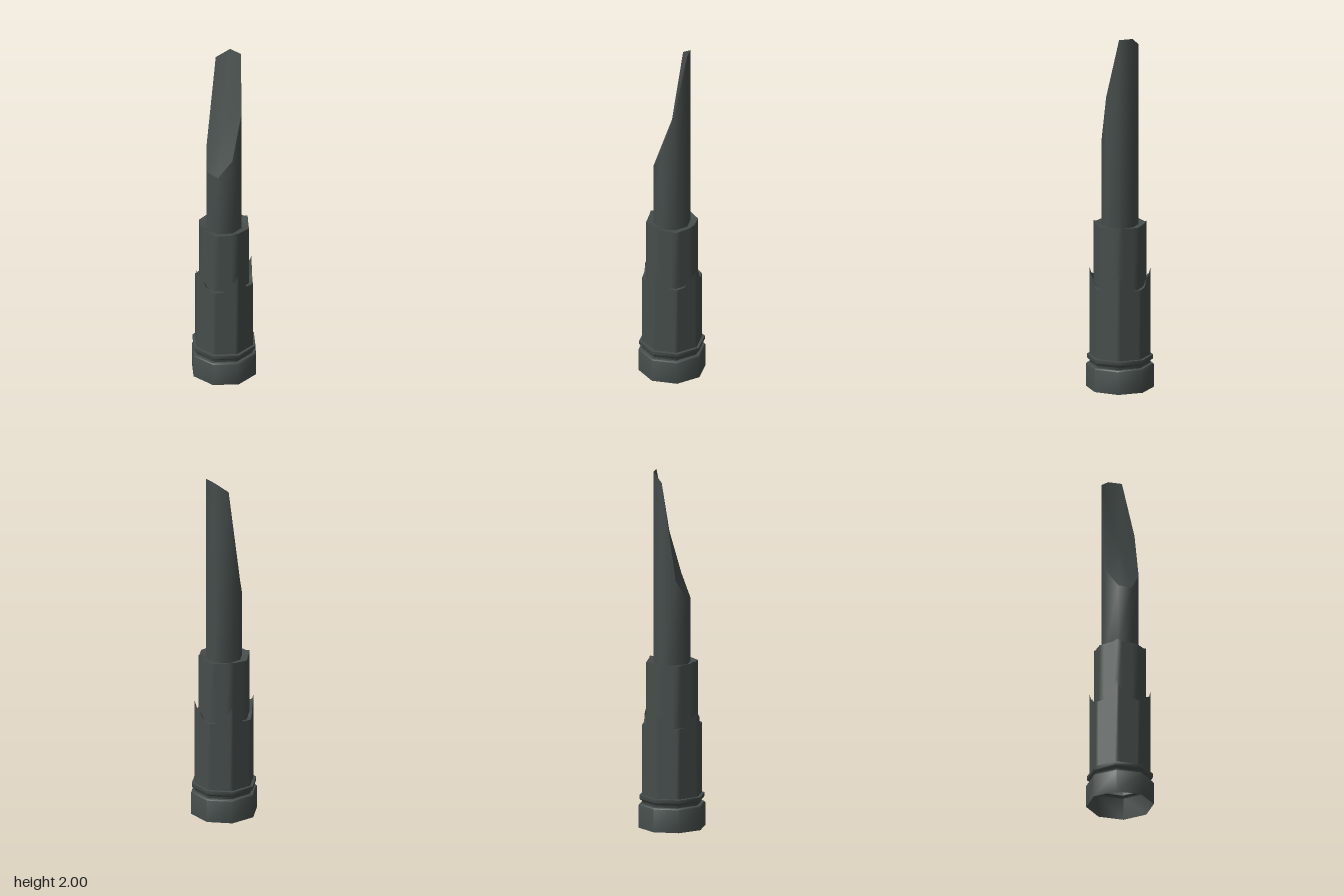
import * as THREE from 'three';
import { toCreasedNormals } from 'three/addons/utils/BufferGeometryUtils.js';

const SIDES = 8;

// Point on an octagon with a corner facing front; u counts corners and may be fractional
function octagonPoint(u, r, y) {
  const at = (k) => [Math.sin(k * Math.PI / 4) * r, Math.cos(k * Math.PI / 4) * r];
  const k = Math.floor(u), t = u - k, a = at(k), b = at(k + 1);
  return [a[0] + (b[0] - a[0]) * t, y, a[1] + (b[1] - a[1]) * t];
}

// Skin octagonal rings [radius, height]; height may be a function of u
function loft(rings, stops = [0]) {
  const us = [];
  for (let k = 0; k < SIDES; k++) for (const s of stops) us.push(k + s);
  const n = us.length, positions = [], index = [];
  for (const [r, y] of rings) {
    for (const u of us) positions.push(...octagonPoint(u, r, typeof y === 'function' ? y(u) : y));
  }
  for (let j = 0; j < rings.length - 1; j++) {
    for (let i = 0; i < n; i++) {
      const a = j * n + i, b = j * n + (i + 1) % n;
      index.push(a, b, b + n, a, b + n, a + n);
    }
  }
  const g = new THREE.BufferGeometry();
  g.setAttribute('position', new THREE.Float32BufferAttribute(positions, 3));
  g.setIndex(index);
  return toCreasedNormals(g, 0.87);
}

// Piecewise height by distance from the nearest front, back or side corner (0..1)
function crown(points) {
  return (u) => {
    const m = u % 2, d = Math.min(m, 2 - m);
    for (let i = 1; i < points.length; i++) {
      const [d0, y0] = points[i - 1], [d1, y1] = points[i];
      if (d <= d1 + 1e-6) return y0 + (y1 - y0) * (d - d0) / (d1 - d0);
    }
    return points[points.length - 1][1];
  };
}

export function createModel() {
  const model = new THREE.Group();
  model.name = 'brokenTower';
  const stone = new THREE.MeshStandardMaterial({ color: 0x454d4b, side: THREE.DoubleSide });
  stone.name = 'darkStone';
  const add = (name, geometry) => {
    const mesh = new THREE.Mesh(geometry, stone);
    mesh.name = name;
    model.add(mesh);
  };

  // Hollow foot, neck and projecting band
  add('foot', loft([[0.187, 0], [0.187, 0.128], [0.182, 0.135], [0.166, 0.136]]));
  add('neckBand', loft([[0.166, 0.136], [0.168, 0.15], [0.183, 0.163], [0.183, 0.184], [0.168, 0.185]]));

  // Lower tier with four jagged points
  const lowerRim = crown([[0, 0.68], [0.1, 0.65], [0.25, 0.637], [0.4, 0.63], [0.5, 0.6], [0.62, 0.583], [1, 0.58]]);
  const stops = [0, 0.1, 0.25, 0.38, 0.5, 0.62, 0.75, 0.9];
  add('lowerTier', loft([[0.168, 0.185], [0.168, lowerRim], [0.144, 0.578]], stops));

  // Middle tier with slightly raised corners
  const middleRim = crown([[0, 0.945], [0.25, 0.935], [1, 0.93]]);
  add('middleTier', loft([[0.145, 0.56], [0.145, middleRim], [0.103, 0.925]], [0, 0.25, 0.5, 0.75]));

  // Shaft broken off at a slant, corners counted from the front towards +x
  const breakHeights = [1.39, 1.665, 2.0, 2.0, 1.95, 1.40, 1.29, 1.285];
  const breakLine = (u) => breakHeights[u];
  add('shaft', loft([[0.103, 0.91], [0.103, breakLine]]));
  add('brokenTop', loft([[0.103, breakLine], [0, 1.57]]));

  return model;
}
